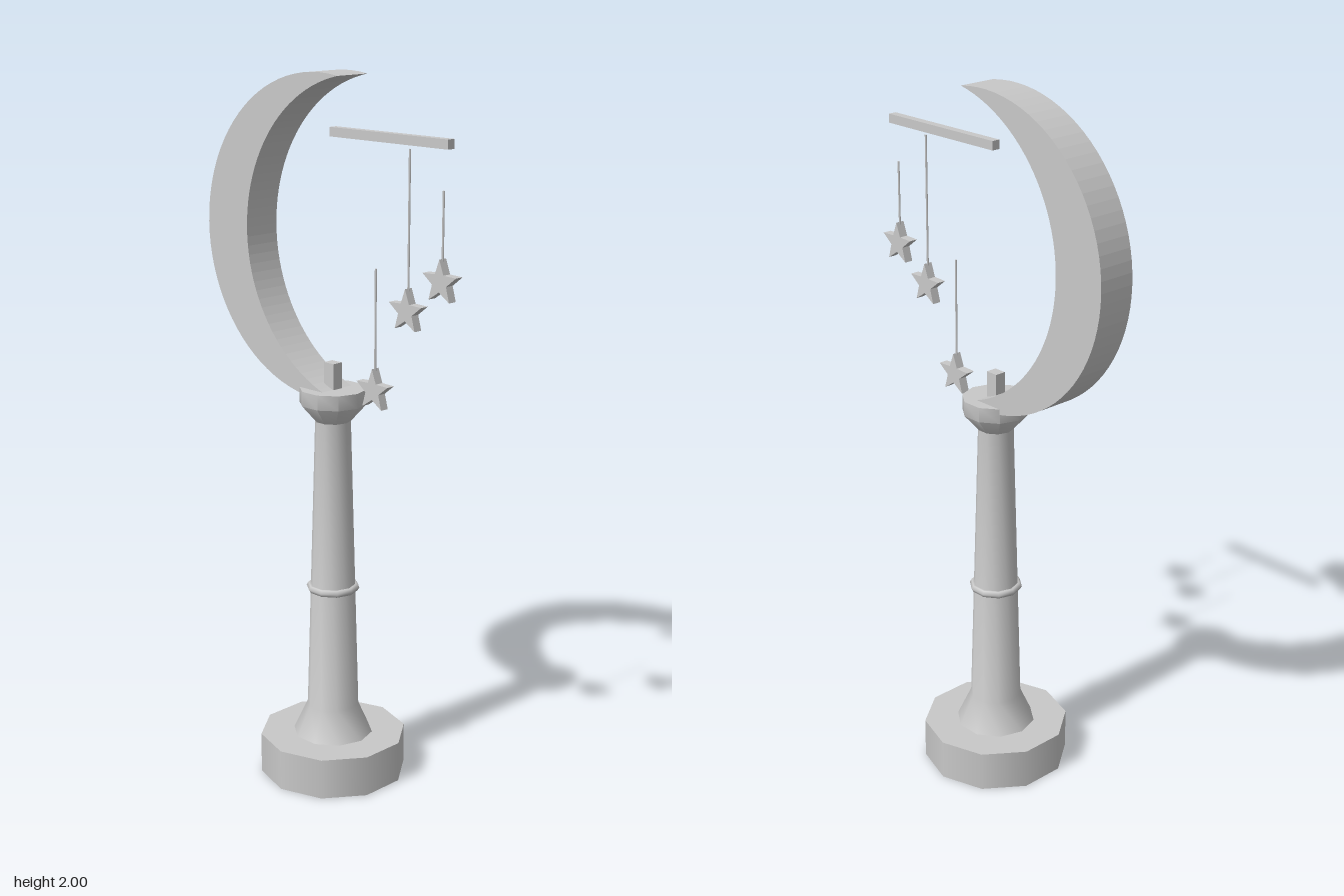
import * as THREE from 'three';
import { toCreasedNormals } from 'three/addons/utils/BufferGeometryUtils.js';

export function createModel() {
  const group = new THREE.Group();
  const grey = new THREE.MeshStandardMaterial({ color: 0xc8c8c8 });
  grey.name = 'light grey';
  const AXIS = -0.007; // x of the column axis

  const add = (name, geometry, x = AXIS, y = 0, z = 0) => {
    const mesh = new THREE.Mesh(geometry, grey);
    mesh.name = name;
    mesh.position.set(x, y, z);
    group.add(mesh);
    return mesh;
  };

  // Ten-sided turned part from [radius, y] pairs, bottom to top
  const turned = (profile, crease = 0.85) => toCreasedNormals(
    new THREE.LatheGeometry(profile.map(([r, y]) => new THREE.Vector2(r, y)), 10, Math.PI / 2), crease);

  // Extrusion centred on z = 0
  const plate = (shape, depth, curveSegments = 1) => {
    const g = new THREE.ExtrudeGeometry(shape, { depth, bevelEnabled: false, curveSegments });
    return g.translate(0, 0, -depth / 2);
  };

  // Plinth with a corner facing the front
  add('base', new THREE.CylinderGeometry(0.21, 0.21, 0.117, 10), AXIS, 0.0585);

  // Tapered column with a flared foot
  add('column', turned([[0, 0.115], [0.114, 0.117], [0.074, 0.205], [0.05, 1.06]]));
  add('capital', turned([[0.05, 1.05], [0.094, 1.1], [0.094, 1.142], [0, 1.142]]));
  const ring = new THREE.TorusGeometry(0.065, 0.011, 6, 10).rotateX(Math.PI / 2);
  add('columnRing', ring, AXIS, 0.561);

  // Crescent: outer arc closed by an offset inner arc through the same tips
  const R = 0.44, tip = new THREE.Vector2(0.072, 0.434), innerX = 0.162;
  const outerAngle = Math.atan2(tip.y, tip.x);
  const innerAngle = Math.atan2(tip.y, tip.x - innerX);
  const innerR = Math.hypot(tip.x - innerX, tip.y);
  const moon = new THREE.Shape();
  moon.absarc(0, 0, R, outerAngle, 2 * Math.PI - outerAngle, false);
  moon.absarc(innerX, 0, innerR, 2 * Math.PI - innerAngle, innerAngle, true);
  add('crescentMoon', plate(moon, 0.112, 24), AXIS, 1.56);

  // Peg on the capital and the floating hanger bar
  add('peg', new THREE.BoxGeometry(0.037, 0.08, 0.032), AXIS, 1.175);
  add('hangerBar', new THREE.BoxGeometry(0.416, 0.025, 0.024), 0.201, 1.843);

  // Five-pointed stars hanging on strings: [x, star centre y, string top y]
  const star = new THREE.Shape();
  for (let i = 0; i < 10; i++) {
    const r = i % 2 ? 0.025 : 0.06;
    const a = Math.PI / 2 + (i * Math.PI) / 5;
    star[i ? 'lineTo' : 'moveTo'](r * Math.cos(a), r * Math.sin(a));
  }
  star.closePath();
  const starGeometry = plate(star, 0.026);
  [[0.153, 1.165, 1.496], [0.27, 1.399, 1.82], [0.387, 1.492, 1.725]].forEach(([x, y, top], i) => {
    add(`star${i + 1}`, starGeometry, x, y);
    const bottom = y + 0.045;
    add(`string${i + 1}`, new THREE.CylinderGeometry(0.003, 0.003, top - bottom, 6), x, (top + bottom) / 2);
  });

  return group;
}
